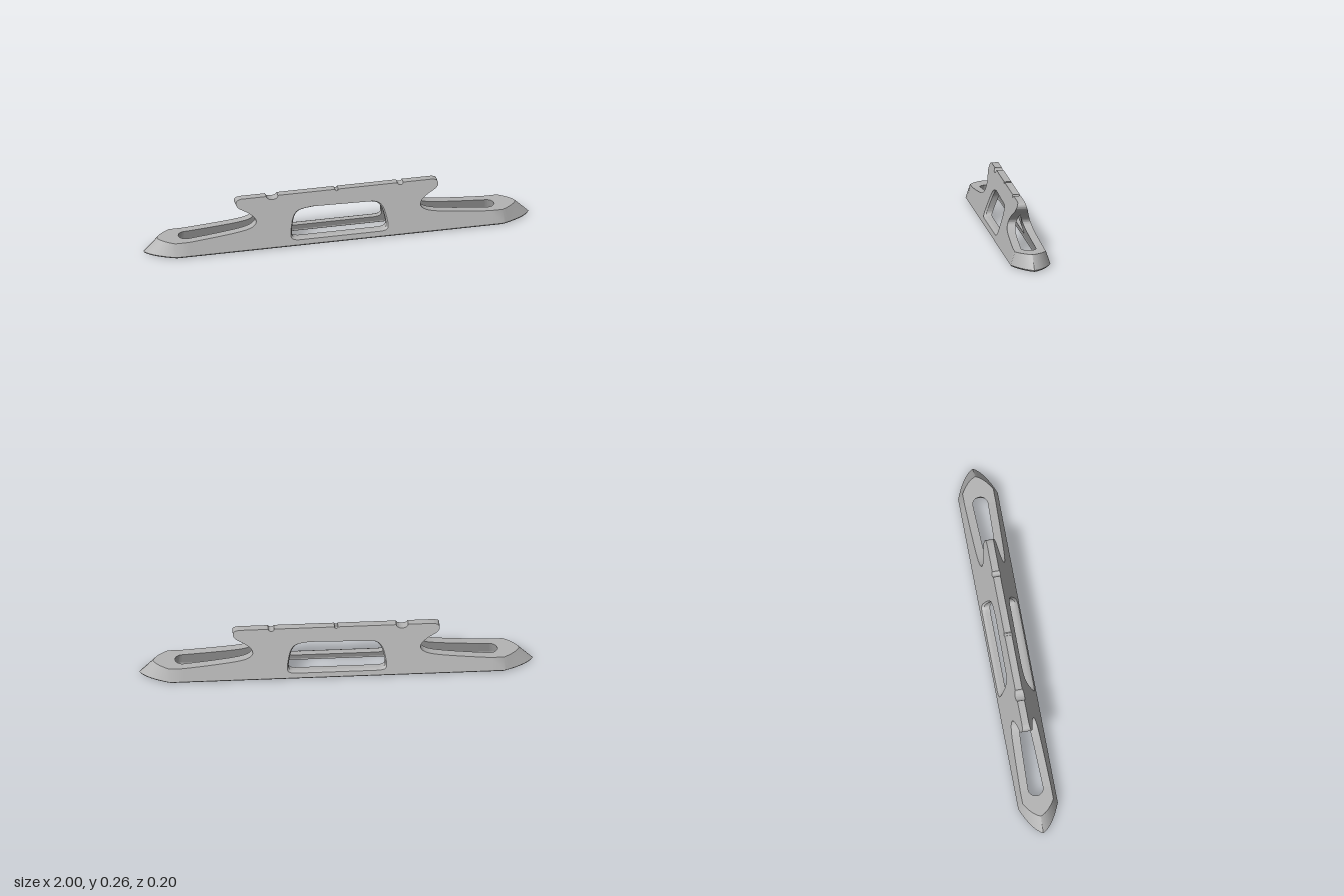
import * as THREE from 'three';
import { toCreasedNormals } from 'three/addons/utils/BufferGeometryUtils.js';

const RIM = 0.008, DECK = 0.076, SPLIT = 0.2, END = 0.78;
const outer = (y) => 0.1045 - 0.333 * y;                  // half width of the sloping outside
const inner = (y) => Math.max(0, (0.185 - y) * 0.35);     // half width of the hollow channel
const lerp = THREE.MathUtils.lerp;

// Moves every vertex by a rule, then smooths the shallow edges
function reshape(geometry, rule) {
  const p = geometry.attributes.position;
  for (let i = 0; i < p.count; i++) p.setXYZ(i, ...rule(p.getX(i), p.getY(i), p.getZ(i)));
  return toCreasedNormals(geometry, 0.6);
}

function extrude(shape, depth, steps = 1) {
  return new THREE.ExtrudeGeometry(shape, { depth, steps, bevelEnabled: false, curveSegments: 18 });
}

function spline(points, n = 24) {
  return new THREE.SplineCurve(points.map(([x, y]) => new THREE.Vector2(x, y))).getPoints(n);
}

// Closes a right-hand outline with its mirror image
function mirrored(half) {
  return [...half, ...half.map((v) => new THREE.Vector2(-v.x, v.y)).reverse()];
}

// Pointed plan curve around one end, from +z to -z
function tip(shape, w) {
  shape.lineTo(0.85, w);
  shape.quadraticCurveTo(0.97, 0.055, 1, 0);
  shape.quadraticCurveTo(0.97, -0.055, 0.85, -w);
}

// Sloping side wall with its window
function sideWall() {
  const edge = spline([[END, DECK], [0.65, 0.087], [0.52, 0.101], [0.455, 0.115], [0.427, 0.137],
    [0.434, 0.163], [0.46, 0.185], [0.485, SPLIT]], 36);
  const shape = new THREE.Shape(mirrored([new THREE.Vector2(END, RIM), ...edge]));
  const opening = spline([[0.21, 0.038], [0.236, 0.044], [0.245, 0.062], [0.238, 0.11],
    [0.224, 0.15], [0.195, 0.174], [0.12, 0.184]], 30);
  shape.holes.push(new THREE.Path(mirrored(opening)));
  return reshape(extrude(shape, 1, 4), (x, y, d) => {
    // flare the window towards the outside
    if (d > 0.9 && Math.abs(x) < 0.26 && y > 0.03 && y < 0.19) {
      x *= 1.03;
      y = 0.11 + (y - 0.11) * 1.08;
    }
    return [x, y, lerp(inner(y), outer(y), d)];
  });
}

// Solid pointed end, hollowed by the rounded end of the channel
function endBlock() {
  const w = outer(RIM), r = inner(RIM);
  const shape = new THREE.Shape();
  shape.moveTo(END, w);
  tip(shape, w);
  shape.lineTo(END, -w);
  shape.lineTo(END, -r);
  shape.absarc(END, 0, r, -Math.PI / 2, Math.PI / 2, false);
  const g = extrude(shape, DECK - RIM).rotateX(-Math.PI / 2).translate(0, RIM, 0);
  return reshape(g, (x, y, z) => {
    if (Math.hypot(x - END, z) < r + 0.004) {
      const s = inner(y) / r;
      return [END + (x - END) * s, y, z * s];
    }
    const t = (y - RIM) / (DECK - RIM);
    if (x > 0.85) x = 0.85 + (x - 0.85) * lerp(1, 0.54, t);
    return [x, y, z * outer(y) / w];
  });
}

// Thin foot running all the way round, rounded in underneath
function footRim() {
  const w = outer(RIM), r = inner(RIM);
  const shape = new THREE.Shape();
  shape.moveTo(-0.85, w);
  tip(shape, w);
  shape.lineTo(-0.85, -w);
  shape.quadraticCurveTo(-0.97, -0.055, -1, 0);
  shape.quadraticCurveTo(-0.97, 0.055, -0.85, w);
  const slot = new THREE.Path();
  slot.absarc(END, 0, r, -Math.PI / 2, Math.PI / 2, false);
  slot.absarc(-END, 0, r, Math.PI / 2, Math.PI * 1.5, false);
  shape.holes.push(slot);
  const g = extrude(shape, RIM).rotateX(-Math.PI / 2);
  return reshape(g, (x, y, z) => {
    const inSlot = Math.abs(z) < r + 0.001 && Math.abs(x) < END + r + 0.001;
    return inSlot || y > RIM / 2 ? [x, y, z] : [x * 0.994, y, z * 0.93];
  });
}

// Top bar with rounded overhanging ends and three notches
function topBar() {
  const nose = spline([[0.485, SPLIT], [0.513, 0.216], [0.525, 0.235], [0.518, 0.253], [0.497, 0.26]], 20);
  const shape = new THREE.Shape();
  shape.moveTo(-0.485, SPLIT);
  nose.forEach((v) => shape.lineTo(v.x, v.y));
  for (const [x, rx, ry] of [[0.33, 0.015, 0.011], [0, 0.009, 0.008], [-0.335, 0.03, 0.018]]) {
    shape.lineTo(x + rx, 0.26);
    shape.absellipse(x, 0.26, rx, ry, 0, Math.PI, true, 0);
  }
  [...nose].reverse().forEach((v) => shape.lineTo(-v.x, v.y));
  return reshape(extrude(shape, 1), (x, y, d) => [x, y, (2 * d - 1) * outer(y)]);
}

export function createModel() {
  const group = new THREE.Group();
  group.name = 'hollowFrame';
  const grey = new THREE.MeshStandardMaterial({ color: 0xb4b4b4 });
  grey.name = 'grey';
  const add = (name, geometry, turn = 0) => {
    const mesh = new THREE.Mesh(geometry, grey);
    mesh.name = name;
    mesh.rotation.y = turn;
    group.add(mesh);
  };
  const wall = sideWall(), end = endBlock();
  add('frontWall', wall);
  add('backWall', wall, Math.PI);
  add('leftEnd', end);
  add('rightEnd', end, Math.PI);
  add('footRim', footRim());
  add('topBar', topBar());
  return group;
}
